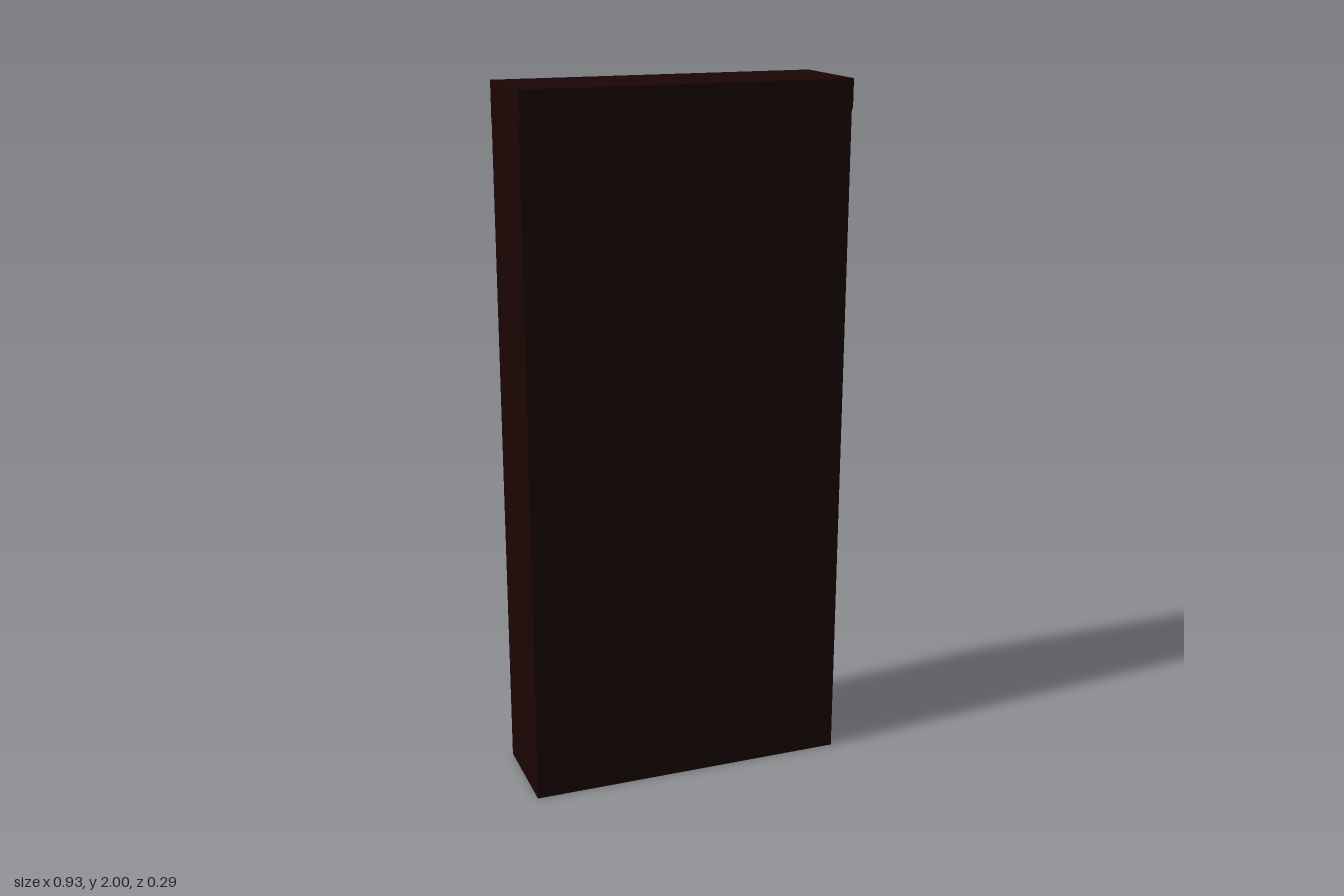
import * as THREE from 'three';

const mat = (name, color) => {
  const m = new THREE.MeshStandardMaterial({ color });
  m.name = name;
  return m;
};

export function createModel() {
  const cabinet = mat('dark mahogany', 0x1b0504);
  const shelfWood = mat('shelf wood', 0x38251a);
  const lining = mat('inner lining', 0x2a1f14);
  const bookMats = {
    g: mat('green cloth', 0x25381b),
    b: mat('blue cloth', 0x1b2946),
    t: mat('tan leather', 0x4c3d27),
    k: mat('brown leather', 0x3d291b),
    r: mat('russet leather', 0x40251c),
  };
  const root = new THREE.Group();
  root.name = 'bookcase';

  // Box given by its lower and upper corners
  const box = (parent, name, m, [x0, y0, z0], [x1, y1, z1]) => {
    const mesh = new THREE.Mesh(new THREE.BoxGeometry(x1 - x0, y1 - y0, z1 - z0), m);
    mesh.position.set((x0 + x1) / 2, (y0 + y1) / 2, (z0 + z1) / 2);
    mesh.name = name;
    parent.add(mesh);
  };

  // Carcass: closed on +z, open towards -z
  box(root, 'backPanel', cabinet, [-0.43, 0, 0.122], [0.43, 1.93, 0.14]);
  box(root, 'topCap', cabinet, [-0.464, 1.92, -0.14], [0.464, 2, 0.147]);
  box(root, 'fascia', cabinet, [-0.464, 1.9, -0.144], [0.464, 2, -0.12]);
  box(root, 'baseBoard', cabinet, [-0.42, 0.02, -0.132], [0.42, 0.045, 0.125]);
  box(root, 'backLining', lining, [-0.41, 0.04, 0.117], [0.41, 1.92, 0.123]);
  box(root, 'ceilingLining', lining, [-0.41, 1.914, -0.118], [0.41, 1.921, 0.12]);
  box(root, 'topRail', shelfWood, [-0.41, 1.895, -0.12], [0.41, 1.915, -0.112]);
  for (const s of [-1, 1]) {
    const span = (a, b) => [Math.min(a * s, b * s), Math.max(a * s, b * s)];
    const [a, b] = span(0.415, 0.464);
    box(root, 'sidePanel', cabinet, [a, 0, -0.132], [b, 1.93, 0.14]);
    const [c, d] = span(0.41, 0.416);
    box(root, 'sideLining', lining, [c, 0.04, -0.118], [d, 1.92, 0.12]);
    // Stile with raised outer bead
    const [e, f] = span(0.408, 0.463);
    box(root, 'stile', cabinet, [e, 0, -0.136], [f, 1.91, -0.118]);
    const [g, h] = span(0.43, 0.464);
    box(root, 'stileBead', cabinet, [g, 0, -0.141], [h, 1.91, -0.13]);
  }

  // Books per shelf, from +x to -x: colour, width.height in hundredths, "/" leans, "_" empty
  const rows = [
    'g4.27 _6.0 t4.24/ k3.22/ t6.22 t4.23 k4.24 g3.25 b4.23 t4.22 k4.22 b4.25 t6.25 t4.24 k4.22/ t4.26/ k5.24 t4.25',
    'b4.29 b3.25 t5.22 k3.25/ t9.25 t4.26/ t3.25 k4.22 b4.25 g8.27 k3.23 b4.25 _8.0 r5.22 r5.25 k5.27',
    'g4.24 _6.0 t3.26 b4.23 g3.24 b5.24 t5.25 g4.22 k4.22 k3.23 t3.24/ k4.25 k6.23 b8.24 k4.26 r4.25',
    'g6.25 t2.26 b4.27 k3.22 b5.24 k4.22 b5.23 g4.26 t4.26/ b9.27 t4.25 t5.24 t4.24 k6.26 k4.23 t4.24 g5.27',
    'k4.25 g4.25 g5.29 g4.29 b4.29 _7.0 g6.26 t4.24 t4.23 b5.25 g4.23 t4.24 t4.25 k5.24 g4.26 b5.27 g4.25 t4.24',
  ];
  const LEAN = 0.2;
  let seed = 7;
  const rand = () => (seed = (seed * 16807) % 2147483647) / 2147483647;

  rows.forEach((row, i) => {
    const top = 0.045 + i * 0.37;
    box(root, 'shelf', shelfWood, [-0.41, top - 0.024, -0.12], [0.41, top + 0.002, 0.12]);

    const books = row.split(' ').map((token) => {
      const [w, h] = token.slice(1).split('.');
      return { c: token[0], w: parseInt(w, 10) / 100, h: parseInt(h, 10) / 100, lean: token.endsWith('/') };
    });
    // Room taken by leaning groups is shared out of the widths
    const gap = (b, k) => (b.lean && !books[k + 1].lean ? b.h * Math.sin(LEAN) : 0);
    const gaps = books.reduce((sum, b, k) => sum + gap(b, k), 0);
    const scale = (0.8 - gaps) / books.reduce((sum, b) => sum + b.w, 0);

    const group = new THREE.Group();
    group.name = 'bookRow';
    root.add(group);
    let x = 0.4;
    books.forEach((b, k) => {
      const w = b.w * scale;
      x -= w;
      if (b.c !== '_') {
        const front = -0.105 + rand() * 0.03;
        const depth = 0.15 + rand() * 0.03;
        // Pivot at the lower corner on the -x side
        const geo = new THREE.BoxGeometry(w * (b.lean ? 0.95 : 0.97), b.h, depth);
        geo.translate(w / 2, b.h / 2, depth / 2);
        const book = new THREE.Mesh(geo, bookMats[b.c]);
        book.name = 'book';
        book.position.set(x, top + 0.002, front);
        if (b.lean) book.rotation.z = LEAN;
        group.add(book);
      }
      x -= gap(b, k);
    });
  });
  return root;
}
